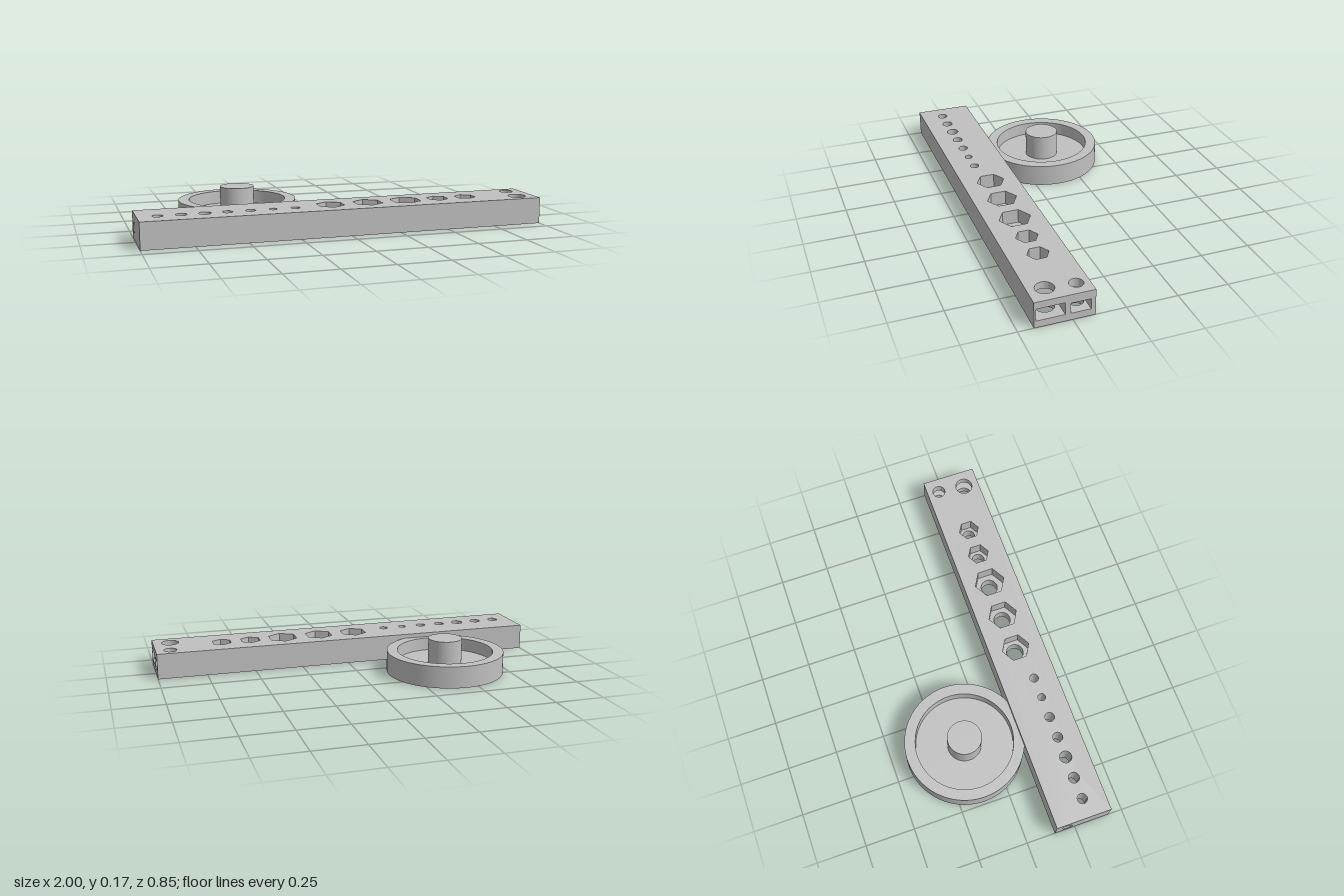
import * as THREE from 'three';
import { toCreasedNormals } from 'three/addons/utils/BufferGeometryUtils.js';

const SIDES = 40;
const BAR = { x0: -1, x1: 1, z0: 0.145, z1: 0.427, h: 0.131 };

// plain round holes: x, z, radius
const ROUND = [
  [-0.904, 0.313, 0.025], [-0.795, 0.313, 0.027], [-0.685, 0.313, 0.03], [-0.578, 0.313, 0.025],
  [-0.468, 0.313, 0.024], [-0.358, 0.313, 0.019], [-0.25, 0.313, 0.022],
];
// hex nut pockets above round holes: x, z, hole radius, hex radius
const HEX = [
  [-0.064, 0.283, 0.043, 0.071], [0.128, 0.283, 0.043, 0.075], [0.326, 0.283, 0.043, 0.079],
  [0.5, 0.283, 0.032, 0.055], [0.651, 0.283, 0.032, 0.053],
];
const HEX_FLOOR = 0.06;
// nut slots open at the +x end, each crossed by an upright hole
const SLOTS = [
  { z0: 0.285, z1: 0.418, y0: 0.035, y1: 0.096, x0: 0.845, hole: [0.912, 0.347, 0.044] },
  { z0: 0.166, z1: 0.26, y0: 0.035, y1: 0.087, x0: 0.875, hole: [0.925, 0.207, 0.033] },
];
// blind bore in the -x end
const BORE = { z: 0.205, y: 0.061, r: 0.026, depth: 0.15 };

const ring = (a, b, r, n = SIDES) => Array.from({ length: n }, (_, i) => {
  const t = (i / n) * Math.PI * 2;
  return [a + r * Math.sin(t), b + r * Math.cos(t)];
});
const rect = (a0, b0, a1, b1) => [[a0, b0], [a1, b0], [a1, b1], [a0, b1]];

export function createModel() {
  const model = new THREE.Group();
  const grey = new THREE.MeshStandardMaterial({ color: 0xc0c0c0, side: THREE.DoubleSide });
  grey.name = 'light grey';

  const bar = new THREE.Group();
  bar.name = 'testBar';
  model.add(bar);

  const add = (name, geometry, parent = bar) => {
    const mesh = new THREE.Mesh(geometry, grey);
    mesh.name = name;
    parent.add(mesh);
    return mesh;
  };
  const sheet = (outline, holes, flip) => {
    const pts = (list) => list.map(([a, b]) => new THREE.Vector2(a * flip[0], b * flip[1]));
    const shape = new THREE.Shape(pts(outline));
    shape.holes = holes.map((h) => new THREE.Path(pts(h)));
    return new THREE.ShapeGeometry(shape);
  };
  // level face in x, z, looking up or down
  const level = (name, y, up, outline, holes = []) =>
    add(name, sheet(outline, holes, [1, up ? -1 : 1])
      .rotateX(up ? -Math.PI / 2 : Math.PI / 2).translate(0, y, 0));
  // end face in z, y, looking along +x or -x
  const end = (name, x, dir, outline, holes = []) =>
    add(name, sheet(outline, holes, [-dir, 1]).rotateY(dir * Math.PI / 2).translate(x, 0, 0));
  // upright face along x
  const side = (name, z, dir, x0, x1, y0, y1) =>
    add(name, new THREE.PlaneGeometry(x1 - x0, y1 - y0)
      .rotateY(dir > 0 ? 0 : Math.PI).translate((x0 + x1) / 2, (y0 + y1) / 2, z));
  // upright hole wall
  const wall = (name, [x, z, r], y0, y1, n = SIDES) => {
    const g = new THREE.CylinderGeometry(r, r, y1 - y0, n, 1, true).translate(x, (y0 + y1) / 2, z);
    add(name, toCreasedNormals(g, 0.5));
  };

  // outer faces of the bar
  const { x0, x1, z0, z1, h } = BAR;
  const footprint = rect(x0, z0, x1, z1);
  const slotHoles = SLOTS.map((s) => ring(...s.hole));
  const roundHoles = ROUND.map((c) => ring(...c));
  level('barTop', h, true, footprint,
    [...roundHoles, ...slotHoles, ...HEX.map(([x, z, , R]) => ring(x, z, R, 6))]);
  level('barBottom', 0, false, footprint,
    [...roundHoles, ...slotHoles, ...HEX.map(([x, z, r]) => ring(x, z, r))]);
  side('barFront', z1, 1, x0, x1, 0, h);
  side('barBack', z0, -1, x0, x1, 0, h);
  end('barLeftEnd', x1, 1, rect(z0, 0, z1, h), SLOTS.map((s) => rect(s.z0, s.y0, s.z1, s.y1)));
  end('barRightEnd', x0, -1, rect(z0, 0, z1, h), [ring(BORE.z, BORE.y, BORE.r)]);

  // round holes and hex pockets
  ROUND.forEach((c) => wall('roundHole', c, 0, h));
  HEX.forEach(([x, z, r, R]) => {
    wall('boltHole', [x, z, r], 0, HEX_FLOOR);
    wall('hexPocket', [x, z, R], HEX_FLOOR, h, 6);
    level('hexPocketFloor', HEX_FLOOR, true, ring(x, z, R, 6), [ring(x, z, r)]);
  });

  // nut slots with their crossing holes
  SLOTS.forEach((s, i) => {
    const area = rect(s.x0, s.z0, x1, s.z1);
    level('slotFloor', s.y0, true, area, [slotHoles[i]]);
    level('slotCeiling', s.y1, false, area, [slotHoles[i]]);
    side('slotBackWall', s.z0, 1, s.x0, x1, s.y0, s.y1);
    side('slotFrontWall', s.z1, -1, s.x0, x1, s.y0, s.y1);
    end('slotEnd', s.x0, 1, rect(s.z0, s.y0, s.z1, s.y1));
    wall('slotHoleLower', s.hole, 0, s.y0);
    wall('slotHoleUpper', s.hole, s.y1, h);
  });

  // blind end bore
  add('endBore', new THREE.CylinderGeometry(BORE.r, BORE.r, BORE.depth, SIDES, 1, true)
    .rotateZ(Math.PI / 2).translate(x0 + BORE.depth / 2, BORE.y, BORE.z));
  end('endBoreFloor', x0 + BORE.depth, -1, ring(BORE.z, BORE.y, BORE.r));

  // round dish with a raised rim and central post
  const profile = [
    [0, 0], [0.299, 0], [0.299, 0.11], [0.245, 0.11], [0.245, 0.044],
    [0.086, 0.044], [0.086, 0.175], [0, 0.175],
  ].map(([r, y]) => new THREE.Vector2(r, y));
  const dish = add('dishWithPost', toCreasedNormals(new THREE.LatheGeometry(profile, 96), 0.5), model);
  dish.position.set(-0.437, 0, -0.128);

  return model;
}
